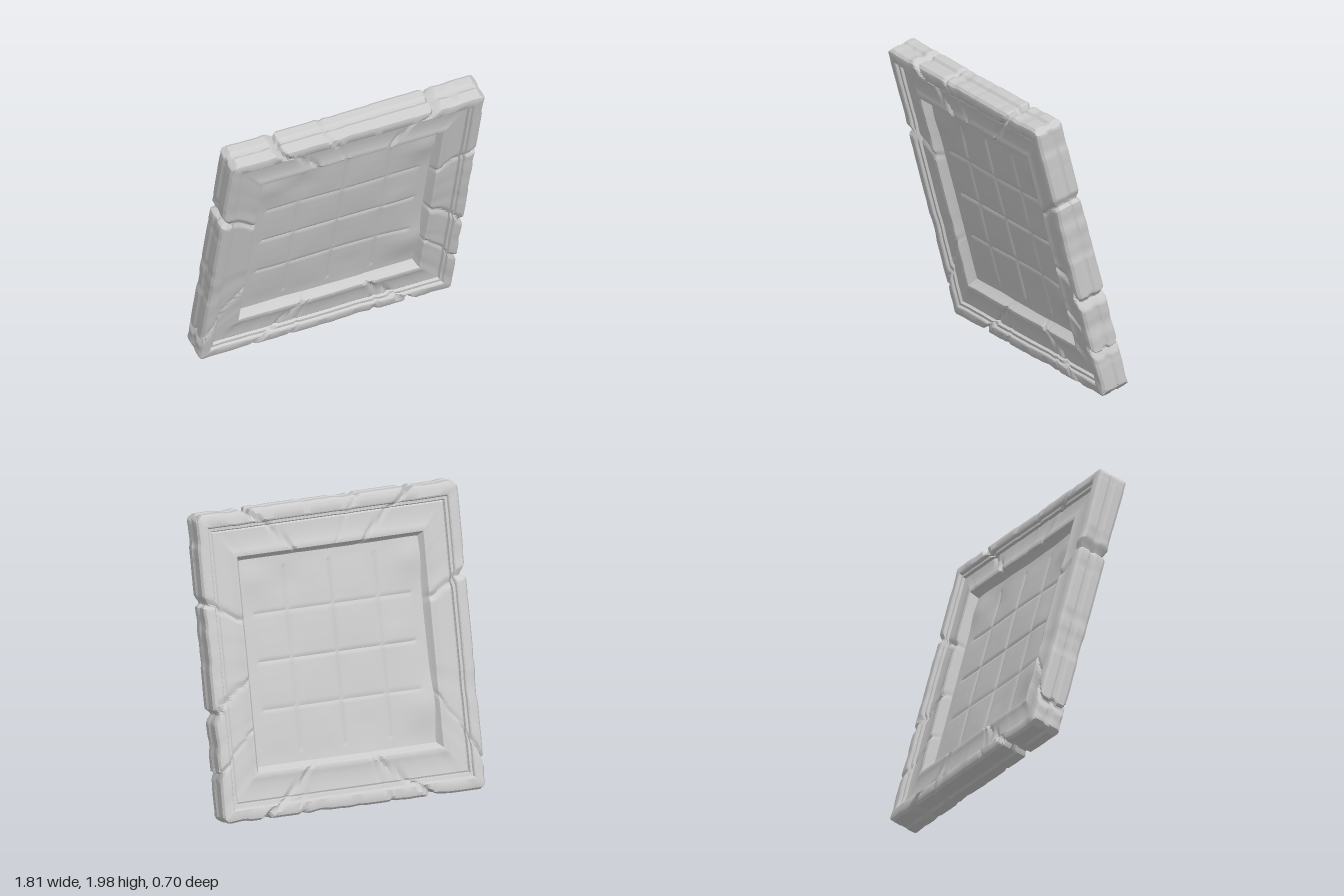
import * as THREE from 'three';
import { toCreasedNormals, mergeVertices } from 'three/addons/utils/BufferGeometryUtils.js';

const W = 0.905, H = 1.005, INSET_Y = 1.15, TILT = THREE.MathUtils.degToRad(15);
const stone = new THREE.MeshStandardMaterial({ color: 0xcccccc });

// Moulding section from the panel to the outer edge: [inset, height]
const half = [
  [0.31, 0], [0.292, 0.018], [0.27, 0.068], [0.262, 0.08], [0.245, 0.084], [0.228, 0.078],
  [0.2, 0.072], [0.15, 0.07], [0.115, 0.072], [0.106, 0.066], [0.1, 0.084], [0.084, 0.086],
  [0.078, 0.1], [0.07, 0.105], [0.032, 0.105], [0.014, 0.098], [0.002, 0.08], [0, 0.03], [0.01, 0.01],
];
const section = [...half, ...half.map(([d, z]) => [d, -z]).reverse()];

// Cracks per side (right, top, left, bottom): [place at outer edge, place at inner edge, width, depth]
const cracks = [
  [[0.45, 0.41, 0.035, 0.8], [-0.3, -0.13, 0.045, 1], [-0.7, -0.6, 0.03, 0.7]],
  [[-0.58, -0.3, 0.035, 0.9], [0.57, 0.32, 0.035, 0.9], [-0.2, -0.05, 0.025, 0.3]],
  [[0.43, 0.38, 0.045, 1], [-0.82, -0.5, 0.035, 0.7]],
  [[-0.55, -0.22, 0.035, 0.9], [0.62, 0.34, 0.04, 0.9], [0.36, 0.44, 0.03, 0.4], [-0.25, -0.2, 0.025, 0.3]],
];

// Gentle chipped waviness along an edge
const wave = (s, k) => Math.max(0, Math.sin(s * 9 + k * 2.1) * 0.5 + Math.sin(s * 23 + k * 5) * 0.35 + Math.sin(s * 47 + k) * 0.2);

function framePoint(side, t, d, z) {
  const horizontal = side % 2 === 1;
  const along = t * (side < 2 ? 1 : -1) * (side === 1 ? -1 : 1) * (side === 3 ? -1 : 1);
  const s = along * (horizontal ? W : H);
  const outer = Math.max(0, 1 - d / 0.12), ends = Math.min(1, (1 - Math.abs(t)) * 12);
  let inset = d + 0.009 * wave(s, side) * outer * ends, height = z;
  for (const [a, b, width, depth] of cracks[side]) {
    const centre = a + (b - a) * d / 0.29 + 0.012 * Math.sin(d * 60 + a * 9);
    const f = Math.max(0, 1 - Math.abs(s - centre) / width) * depth * ends;
    inset += 0.035 * f * outer;
    height *= 1 - 0.22 * f;
  }
  // Each broken piece sits at a slightly different level
  height *= 1 - 0.06 * wave(s * 0.6, side + 3) * ends;
  const hw = W - inset, hh = H - inset * INSET_Y;
  let x = horizontal ? along * hw : (side === 0 ? hw : -hw);
  let y = horizontal ? (side === 1 ? hh : -hh) : along * hh;
  // Worn outer corners
  const cut = Math.abs(x) + Math.abs(y) - (W + H - 0.045);
  if (cut > 0) { x -= Math.sign(x) * cut / 2; y -= Math.sign(y) * cut / 2; }
  return [x, y, height];
}

// Moulded frame swept around the rectangle
function frameGeometry() {
  const perSide = 130, n = perSide * 4, m = section.length, pos = [], index = [];
  for (let i = 0; i < n; i++) {
    const t = -1 + 2 * (i % perSide) / perSide;
    for (const [d, z] of section) pos.push(...framePoint(Math.floor(i / perSide), t, d, z));
  }
  for (let i = 0; i < n; i++) {
    const k = (i + 1) % n;
    for (let j = 0; j < m - 1; j++) {
      const a = i * m + j, b = k * m + j;
      index.push(a, a + 1, b, b, a + 1, b + 1);
    }
  }
  const g = new THREE.BufferGeometry();
  g.setAttribute('position', new THREE.Float32BufferAttribute(pos, 3));
  g.setIndex(index);
  return toCreasedNormals(g, 0.5);
}

// Worn swellings and hollows on the panel: [x, y, radius, height]
const wear = [
  [0.58, -0.42, 0.2, 0.022], [0.56, 0.55, 0.16, 0.018], [-0.55, 0.55, 0.15, 0.012],
  [-0.3, 0.5, 0.14, -0.008], [0.15, -0.5, 0.15, -0.006], [0.4, 0.05, 0.14, 0.007],
];

// Panel face with tile joints, slightly domed tiles and wear
function panelGeometry() {
  const g = new THREE.PlaneGeometry(1.25, 1.37, 84, 92), p = g.attributes.position, tile = 0.31;
  for (let i = 0; i < p.count; i++) {
    const x = p.getX(i), y = p.getY(i);
    const u = Math.abs(x / tile - Math.round(x / tile)) * tile;
    const v = Math.abs(y / tile - Math.round(y / tile)) * tile;
    let z = 0.02 + 0.003 * Math.sin(x * 7 + 1) * Math.sin(y * 6);
    z += 0.003 * Math.min(1, u / 0.1) * Math.min(1, v / 0.1);
    if (Math.abs(x) < 0.55 && Math.abs(y) < 0.6) z -= 0.007 * Math.max(0, 1 - Math.min(u, v) / 0.016);
    for (const [cx, cy, r, h] of wear) z += h * Math.exp(-((x - cx) ** 2 + (y - cy) ** 2) / (r * r * 0.5));
    p.setZ(i, z);
  }
  g.deleteAttribute('uv');
  return toCreasedNormals(mergeVertices(g), 0.5);
}

export function createModel() {
  const model = new THREE.Group();
  model.name = 'leaningStonePanel';
  const slab = new THREE.Group();
  slab.name = 'slab';
  const add = (name, geometry) => {
    const mesh = new THREE.Mesh(geometry, stone);
    mesh.name = name;
    slab.add(mesh);
    return mesh;
  };
  add('frame', frameGeometry());
  const face = panelGeometry();
  add('frontPanel', face);
  add('backPanel', face).rotation.y = Math.PI;
  // The top leans forward
  slab.rotation.x = TILT;
  slab.position.y = 1;
  model.add(slab);
  // Rest the lowest edge on the ground
  model.updateMatrixWorld(true);
  slab.position.y -= new THREE.Box3().setFromObject(model, true).min.y;
  return model;
}
